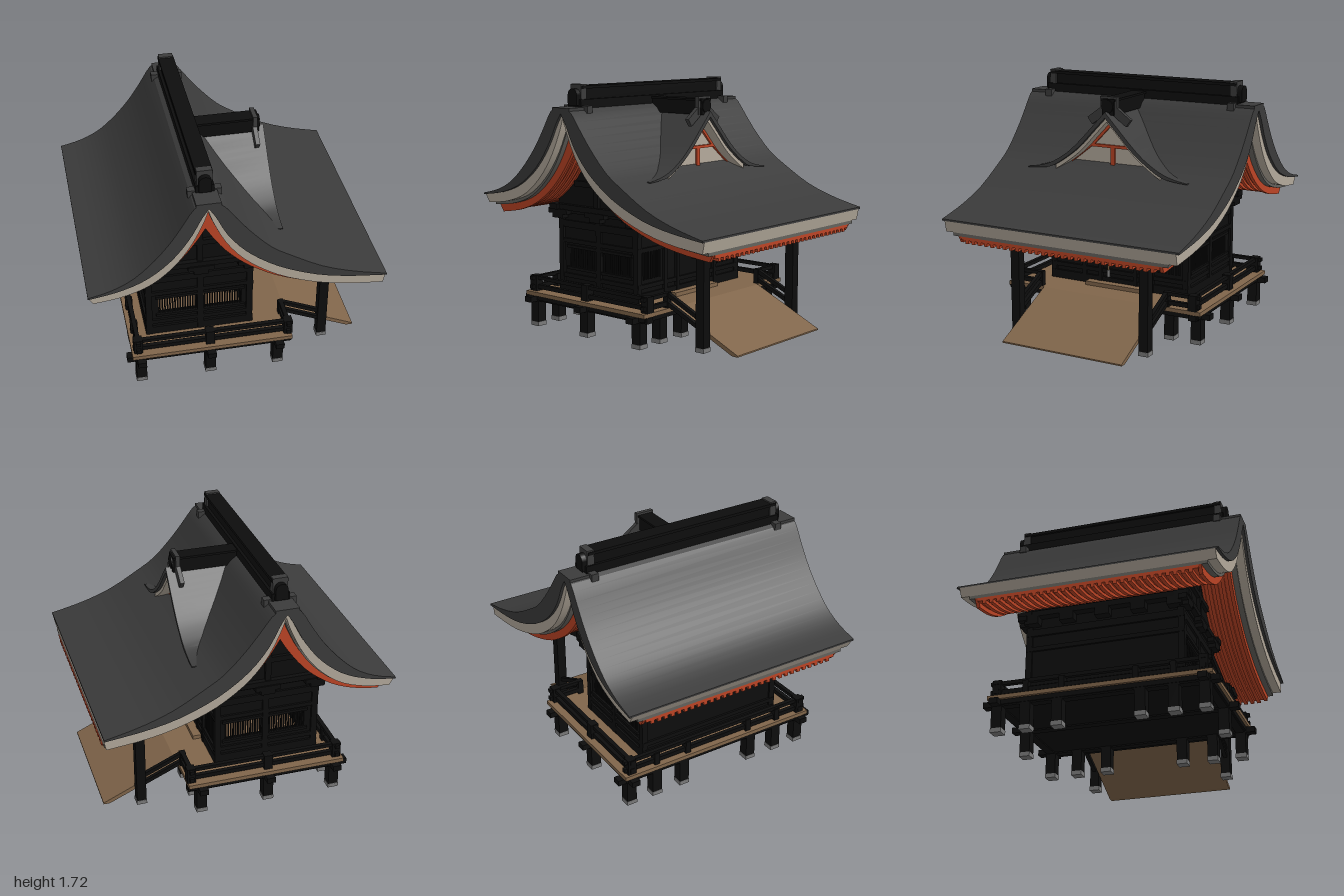
import * as THREE from 'three';
import { toCreasedNormals } from 'three/addons/utils/BufferGeometryUtils.js';

export function createModel() {
  const model = new THREE.Group();
  const material = (name, color) => {
    const m = new THREE.MeshStandardMaterial({ color });
    m.name = name;
    return m;
  };
  const black = material('blackTimber', 0x0d0d0d);
  const slate = material('roofSlate', 0x3b3b3b);
  const cream = material('creamTrim', 0xb3a99b);
  const gray = material('grayBand', 0x64625d);
  const red = material('vermilion', 0xbc4425);
  const tan = material('tanWood', 0x80654a);
  const stone = material('footStone', 0x7a7a7a);
  const brass = material('bellBrass', 0x735739);

  const add = (name, geo, mat) => {
    const mesh = new THREE.Mesh(geo, mat);
    mesh.name = name;
    model.add(mesh);
    return mesh;
  };
  // box given by its limits on each axis
  const box = (name, mat, x0, x1, y0, y1, z0, z1) => {
    const m = add(name, new THREE.BoxGeometry(x1 - x0, y1 - y0, z1 - z0), mat);
    m.position.set((x0 + x1) / 2, (y0 + y1) / 2, (z0 + z1) / 2);
    return m;
  };
  // the same box on both sides of z = 0
  const boxPair = (name, mat, x0, x1, y0, y1, z0, z1) => {
    box(name, mat, x0, x1, y0, y1, z0, z1);
    box(name, mat, x0, x1, y0, y1, -z1, -z0);
  };
  // square beam between two points
  const bar = (name, mat, a, b, w, h) => {
    const p = new THREE.Vector3(...a), q = new THREE.Vector3(...b);
    const m = add(name, new THREE.BoxGeometry(w, h, p.distanceTo(q)), mat);
    m.position.copy(p).add(q).multiplyScalar(0.5);
    m.lookAt(q);
  };
  const spline = pts => new THREE.SplineCurve(pts.map(p => new THREE.Vector2(...p))).getPoints(20);
  const shift = (pts, dy) => pts.map(p => new THREE.Vector2(p.x, p.y + dy));
  // two halves meeting at the peak
  const profile = (left, right) => [...spline(left), ...spline([left[left.length - 1], ...right]).slice(1)];
  const extrude = (shape, depth) =>
    toCreasedNormals(new THREE.ExtrudeGeometry(shape, { depth, bevelEnabled: false }), 0.4);
  const between = (upper, lower) => new THREE.Shape([...upper, ...[...lower].reverse()]);
  const layer = (name, mat, upper, lower, z0, z1) => {
    const m = add(name, extrude(between(upper, lower), z1 - z0), mat);
    m.position.z = z0;
    return m;
  };

  // ---- main roof: stacked curved layers
  const top = profile(
    [[-1, .937], [-.85, .975], [-.71, 1.045], [-.58, 1.16], [-.47, 1.29], [-.39, 1.41], [-.3, 1.55], [-.215, 1.565]],
    [[-.13, 1.55], [-.035, 1.43], [.06, 1.31], [.195, 1.17], [.33, 1.08], [.54, .96], [.76, .88], [.99, .825]]);
  const edge = profile(
    [[-1, .925], [-.8, .96], [-.62, 1.03], [-.46, 1.155], [-.34, 1.31], [-.26, 1.46], [-.215, 1.53]],
    [[-.17, 1.46], [-.1, 1.32], [0, 1.19], [.12, 1.085], [.28, .985], [.5, .895], [.72, .845], [.99, .812]]);
  const creamLow = profile(
    [[-.965, .87], [-.78, .895], [-.6, .96], [-.45, 1.08], [-.335, 1.23], [-.25, 1.4], [-.215, 1.5]],
    [[-.18, 1.4], [-.105, 1.245], [-.005, 1.11], [.12, 1.0], [.28, .9], [.5, .815], [.72, .765], [.975, .737]]);
  const redLow = profile(
    [[-.93, .795], [-.76, .825], [-.6, .885], [-.46, .98], [-.36, 1.08], [-.27, 1.2], [-.215, 1.29]],
    [[-.16, 1.2], [-.08, 1.09], [.03, .98], [.14, .9], [.28, .82], [.5, .74], [.72, .695], [.95, .67]]);
  const grayLow = shift(creamLow, -.022);
  const soffitLow = shift(creamLow, -.045);
  layer('roofShell', slate, top, edge, -.89, .89);
  layer('creamRoofBand', cream, edge, creamLow, -.87, .87);
  layer('grayRoofBand', gray, creamLow, grayLow, -.81, .81);
  layer('redSoffit', red, grayLow, soffitLow, -.75, .75);
  for (const z of [-.77, .745]) layer('redBargeboard', red, grayLow, redLow, z, z + .025);
  const rafterGeo = extrude(between(soffitLow, shift(soffitLow, -.022)), .026);
  for (let i = 0; i < 29; i++) add('rafter', rafterGeo, red).position.z = -.713 + i * .05;

  // ---- main ridge with end ornaments
  box('ridgeBase', black, -.275, -.155, 1.54, 1.62, -.76, .76);
  box('ridgeBeam', black, -.255, -.175, 1.62, 1.69, -.74, .74);
  box('ridgeCap', black, -.27, -.16, 1.69, 1.71, -.74, .74);
  boxPair('ridgeEndPlate', slate, -.265, -.165, 1.52, 1.72, .695, .745);
  boxPair('ridgeEndWing', slate, -.325, -.105, 1.53, 1.58, .7, .75);
  boxPair('ridgeVerge', slate, -.295, -.135, 1.535, 1.57, .74, .89);
  for (const s of [-1, 1]) {
    const disc = add('ridgeEndDisc', new THREE.CylinderGeometry(.042, .042, .04, 16).rotateX(Math.PI / 2), black);
    disc.position.set(-.215, 1.65, s * .76);
    box('ridgeEndBlock', black, -.257, -.173, 1.58, 1.65, s * .76 - .02, s * .76 + .02);
  }

  // ---- dormer gable on the +x slope
  const half = pts => {
    const c = spline(pts);
    return [...[...c].reverse().map(p => new THREE.Vector2(-p.x, p.y)), ...c.slice(1)];
  };
  const dormerTop = half([[0, 1.525], [.1, 1.42], [.2, 1.315], [.3, 1.225], [.42, 1.15], [.52, 1.115], [.62, 1.097]]);
  const dormerLow = half([[0, 1.485], [.1, 1.38], [.2, 1.275], [.3, 1.195], [.42, 1.12], [.52, 1.098], [.62, 1.09]]);
  const extrudeX = (shape, x0, x1) => extrude(shape, x1 - x0).rotateY(Math.PI / 2).translate(x0, 0, 0);
  const roofX = y => top.find(p => p.x > -.12 && p.y < y)?.x ?? .3;
  let dormer = new THREE.ExtrudeGeometry(between(dormerTop, dormerLow), { depth: .5, bevelEnabled: false })
    .rotateY(Math.PI / 2).translate(-.165, 0, 0);
  // back edge follows the main slope
  const pos = dormer.attributes.position;
  for (let i = 0; i < pos.count; i++) {
    if (pos.getX(i) < 0) pos.setX(i, Math.min(.3, roofX(pos.getY(i)) - .05));
  }
  add('dormerRoof', toCreasedNormals(dormer, .4), slate);
  const inner = dormerLow.filter(p => Math.abs(p.x) < .43);
  add('dormerCreamVerge', extrudeX(between(inner, shift(inner, -.03)), .2, .31), cream);
  add('dormerPanel', extrudeX(new THREE.Shape(inner), .19, .215), cream);
  for (const s of [-1, 1]) {
    bar('dormerRedSlope', red, [.222, 1.445, 0], [.222, 1.29, s * .15], .016, .025);
    bar('dormerRedSlope', red, [.222, 1.295, s * .145], [.222, 1.14, s * .345], .016, .025);
  }
  box('dormerRedTie', red, .21, .23, 1.262, 1.282, -.165, .165);
  box('dormerRedStrut', red, .21, .23, 1.13, 1.265, -.016, .016);
  box('dormerRidge', black, -.17, .295, 1.5, 1.595, -.045, .045);
  box('dormerRidgeCap', black, -.17, .295, 1.595, 1.61, -.055, .055);
  box('dormerEndPlate', slate, .25, .28, 1.5, 1.625, -.065, .065);
  for (const s of [-1, 1]) bar('dormerEndWing', slate, [.263, 1.53, s * .04], [.263, 1.45, s * .15], .03, .06);
  const disc = add('dormerEndDisc', new THREE.CylinderGeometry(.045, .045, .03, 16).rotateZ(Math.PI / 2), black);
  disc.position.set(.288, 1.56, 0);

  // ---- hall walls, with open slatted windows on both gable sides
  const rect = (C, x0, x1, y0, y1) =>
    new C([[x0, y0], [x1, y0], [x1, y1], [x0, y1]].map(p => new THREE.Vector2(...p)));
  const windows = [[-.5, -.235], [-.185, .08]];
  const wall = rect(THREE.Shape, -.58, .145, .22, .84);
  for (const [a, b] of windows) wall.holes.push(rect(THREE.Path, a, b, .42, .555));
  const gable = redLow.filter(p => p.x > -.62 && p.x < .2);
  for (const s of [-1, 1]) {
    add('gableSideWall', extrude(wall, .03), black).position.z = s * .52 - .015;
    layer('gableWall', black, shift(gable, .05), [new THREE.Vector2(-.62, .8), new THREE.Vector2(.2, .8)], s * .53 - .015, s * .53 + .015);
    for (const [a, b] of windows) {
      for (let i = 0; i < 15; i++) {
        const x = a + (i + .5) * (b - a) / 15;
        box('windowSlat', black, x - .0045, x + .0045, .42, .555, s * .53 - .006, s * .53 + .006);
      }
      box('windowSill', black, a - .02, b + .02, .4, .42, s * .54 - .01, s * .54 + .01);
      box('windowHead', black, a - .02, b + .02, .555, .575, s * .54 - .01, s * .54 + .01);
    }
    for (const x of [-.57, -.21, .135]) {
      box('wallPost', black, x - .022, x + .022, .22, .84, s * .53 - .022, s * .53 + .022);
      box('bracketBlock', black, x - .05, x + .05, .765, .8, s * .56 - .03, s * .56 + .03);
      box('bracketArm', black, x - .09, x + .09, .795, .83, s * .56 - .03, s * .56 + .03);
    }
    bar('gableStrut', black, [-.215, .85, s * .55], [-.215, 1.3, s * .55], .04, .04);
    box('gableTie', black, -.42, 0, 1.0, 1.04, s * .55 - .02, s * .55 + .02);
  }
  box('rearWall', black, -.58, -.55, .22, .9, -.53, .53);
  box('doorWall', black, .115, .145, .22, .87, -.53, .53);
  for (const [y0, y1] of [[.25, .31], [.34, .37], [.59, .62], [.7, .75]]) {
    boxPair('wallBeam', black, -.595, .16, y0, y1, .53, .55);
    box('wallBeam', black, -.595, -.57, y0, y1, -.55, .55);
    box('wallBeam', black, .135, .16, y0, y1, -.55, .55);
  }
  boxPair('topPlate', black, -.645, .24, .825, .865, .5, .58);
  for (const x of [-.6, .17]) {
    box('eavePlate', black, x - .04, x + .04, .825, .865, -.6, .6);
    for (let i = 0; i < 5; i++) {
      const z = -.5 + i * .25;
      box('eaveBracket', black, x - .045, x + .045, .77, .83, z - .05, z + .05);
    }
  }
  for (const z of [-.27, -.14, .14, .27]) box('doorPost', black, .14, .165, .25, .72, z - .015, z + .015);
  for (const s of [-1, 1]) {
    for (let i = 0; i < 7; i++) {
      const z = s * (.32 + i * .027);
      box('doorSideSlat', black, .14, .155, .4, .59, z - .006, z + .006);
    }
  }

  // ---- veranda, piles and ramp
  box('verandaDeck', tan, -.72, .4, .222, .25, -.76, .76);
  box('floorSlab', black, -.7, .385, .19, .222, -.74, .74);
  boxPair('floorBeam', black, -.755, .4, .18, .22, .67, .73);
  for (const x of [-.66, -.175, .305]) box('crossBeam', black, x - .03, x + .03, .18, .22, -.8, .8);
  const pile = (x, z) => {
    box('pile', black, x - .036, x + .036, .03, .2, z - .036, z + .036);
    box('pileFoot', stone, x - .038, x + .038, 0, .03, z - .038, z + .038);
  };
  for (const s of [-1, 1]) {
    for (const z of [.7, .5, .28]) for (const x of [-.66, .305]) pile(x, s * z);
    pile(-.175, s * .7);
  }
  const ramp = new THREE.Shape([[.39, .25], [.41, .25], [.935, .01], [.935, 0], [.89, 0], [.39, .225]].map(p => new THREE.Vector2(...p)));
  add('ramp', extrude(ramp, .92), tan).position.z = -.46;
  box('doorSill', tan, .15, .22, .25, .278, -.23, .23);

  // ---- railings
  for (const [y0, y1] of [[.265, .295], [.33, .355]]) {
    boxPair('sideRail', black, -.71, .4, y0, y1, .685, .715);
    box('rearRail', black, -.69, -.66, y0, y1, -.75, .75);
    boxPair('frontRail', black, .36, .39, y0, y1, .5, .75);
    const y = (y0 + y1) / 2;
    for (const s of [-1, 1]) bar('rampRail', black, [.38, y, s * .5], [.68, y - .135, s * .5], .028, .028);
  }
  for (const x of [-.675, -.175, .375]) boxPair('railPost', black, x - .03, x + .03, .25, .36, .67, .73);
  for (const z of [.25, .5]) boxPair('rearRailPost', black, -.7, -.65, .25, .34, z - .02, z + .02);
  boxPair('frontRailPost', black, .355, .395, .25, .355, .48, .52);

  // ---- porch posts and beams
  boxPair('porchPost', black, .645, .711, .03, .66, .465, .531);
  boxPair('porchPostFoot', stone, .642, .714, 0, .03, .462, .534);
  boxPair('porchPostCap', black, .585, .765, .64, .675, .455, .58);
  boxPair('porchPostBlock', black, .63, .725, .67, .72, .44, .555);
  box('porchLintel', black, .65, .706, .63, .69, -.58, .58);
  for (const s of [-1, 1]) bar('linkBeam', black, [.14, .82, s * .498], [.68, .68, s * .498], .05, .055);
  bar('bellBeam', black, [.26, .82, 0], [.66, .7, 0], .04, .04);

  // ---- bell and rope
  const bell = add('bell', new THREE.SphereGeometry(.055, 24, 16), brass);
  bell.position.set(.322, .735, 0);
  const rope = add('bellRope', new THREE.CylinderGeometry(.008, .008, .33, 10), brass);
  rope.position.set(.29, .56, 0);
  const tassel = add('ropeTassel', new THREE.CylinderGeometry(.01, .012, .05, 10), stone);
  tassel.position.set(.29, .385, 0);

  return model;
}
